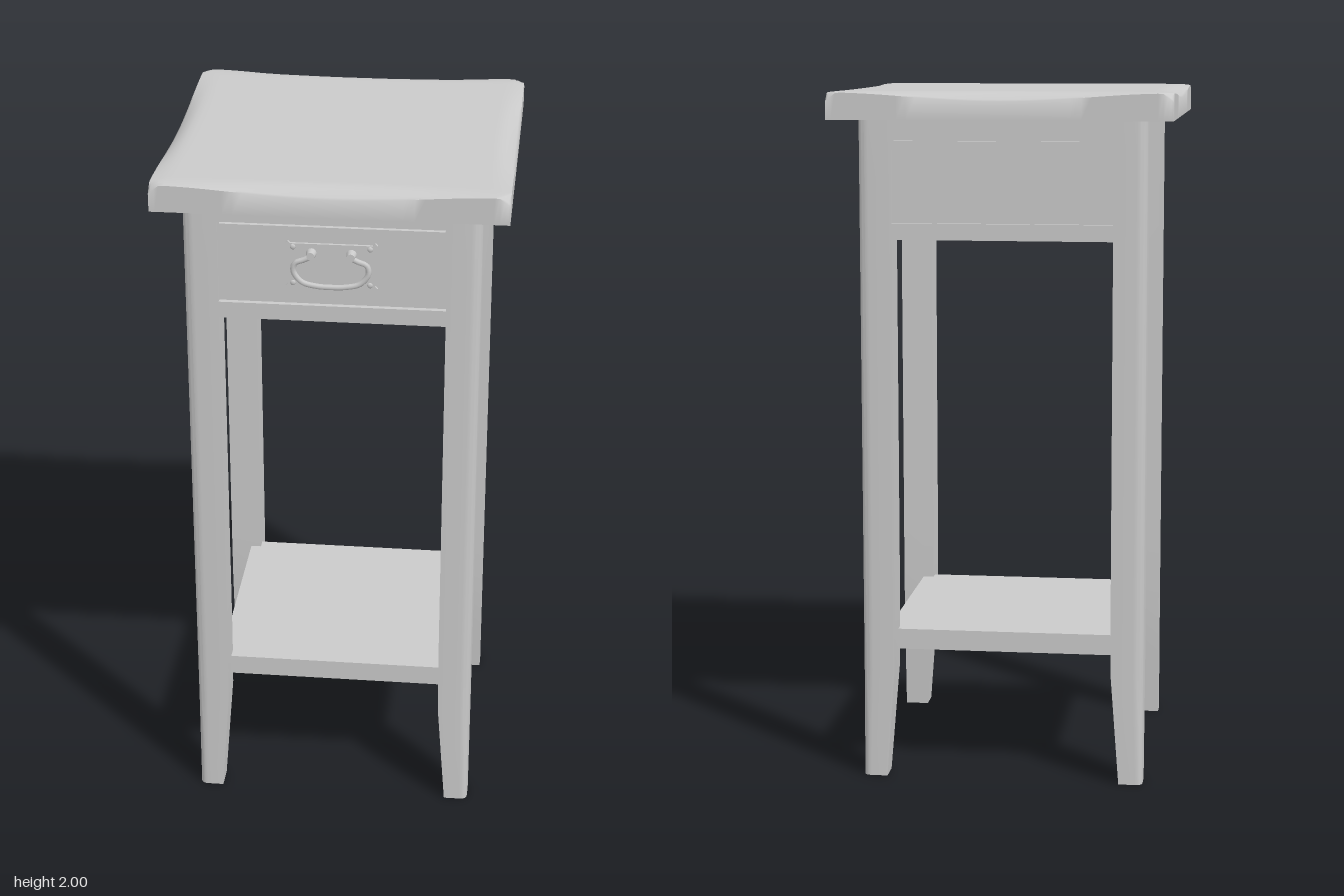
import * as THREE from 'three';
import { toCreasedNormals } from 'three/addons/utils/BufferGeometryUtils.js';

const grey = new THREE.MeshStandardMaterial({ color: 0xcacaca });
grey.name = 'grey';

function add(parent, name, geometry, x = 0, y = 0, z = 0) {
  const mesh = new THREE.Mesh(geometry, grey);
  mesh.name = name;
  mesh.position.set(x, y, z);
  parent.add(mesh);
  return mesh;
}

// box given by its limits
function block(parent, name, [x0, x1], [y0, y1], [z0, z1]) {
  return add(parent, name, new THREE.BoxGeometry(x1 - x0, y1 - y0, z1 - z0),
    (x0 + x1) / 2, (y0 + y1) / 2, (z0 + z1) / 2);
}

// slab with softly worn upper edges and corners
function topGeometry() {
  const half = 0.485;
  const g = new THREE.BoxGeometry(2, 0.08, 2, 40, 1, 40);
  const p = g.attributes.position;
  const spread = u => Math.sign(u) * half * (1 - Math.pow(1 - Math.abs(u), 1.5));
  const wear = t => 0.004 + 0.024 * Math.pow(Math.cos(t * Math.PI / 2 / half), 2);
  for (let i = 0; i < p.count; i++) {
    const x = spread(p.getX(i)), z = spread(p.getZ(i));
    let y = p.getY(i);
    if (y > 0) {
      const fall = (a, b) => wear(b) * Math.pow(Math.max(0, 1 - (half - Math.abs(a)) / 0.055), 2);
      const corner = 0.8 * Math.max(0, Math.abs(x) + Math.abs(z) - 0.935);
      y -= Math.max(fall(x, z), fall(z, x), corner);
    }
    p.setXYZ(i, x, y, z);
  }
  return toCreasedNormals(g, 1.1);
}

// square leg: rounded outer corner at the origin, tapering inward to the foot
function legGeometry() {
  const w = 0.095, r = 0.03;
  const s = new THREE.Shape();
  s.moveTo(-w, -w);
  s.lineTo(0, -w);
  s.lineTo(0, -r);
  s.quadraticCurveTo(0, 0, -r, 0);
  s.lineTo(-w, 0);
  s.closePath();
  const g = new THREE.ExtrudeGeometry(s, { depth: 1.92, steps: 12, bevelEnabled: false, curveSegments: 5 });
  const p = g.attributes.position;
  for (let i = 0; i < p.count; i++) {
    const k = 1 - 0.27 * Math.max(0, 1 - p.getZ(i) / 0.34);
    p.setXYZ(i, p.getX(i) * k, p.getY(i) * k, p.getZ(i));
  }
  g.rotateX(-Math.PI / 2); // the outer corner now faces +x and -z
  return toCreasedNormals(g, 0.6);
}

// drawer plate with notched corners
function plateGeometry() {
  const w = 0.127, h = 0.07, n = 0.014;
  const s = new THREE.Shape();
  s.moveTo(-w + n, -h + n / 2);
  s.lineTo(w - n, -h + n / 2);
  s.lineTo(w - n / 2, -h);
  s.lineTo(w, -h + n / 2);
  s.lineTo(w - n / 2, -h + n);
  s.lineTo(w - n / 2, h - n);
  s.lineTo(w, h - n / 2);
  s.lineTo(w - n / 2, h);
  s.lineTo(w - n, h - n / 2);
  s.lineTo(-w + n, h - n / 2);
  s.lineTo(-w + n / 2, h);
  s.lineTo(-w, h - n / 2);
  s.lineTo(-w + n / 2, h - n);
  s.lineTo(-w + n / 2, -h + n);
  s.lineTo(-w, -h + n / 2);
  s.lineTo(-w + n / 2, -h);
  s.closePath();
  return new THREE.ExtrudeGeometry(s, { depth: 0.009, bevelEnabled: false });
}

function createHandle() {
  const handle = new THREE.Group();
  handle.name = 'drawerHandle';
  add(handle, 'handlePlate', plateGeometry());
  // swinging bail
  const points = [[-0.055, 0.032], [-0.075, 0.022], [-0.098, 0.012], [-0.103, -0.012], [-0.08, -0.043], [-0.04, -0.054]];
  const path = [...points, [0, -0.056], ...points.map(([x, y]) => [-x, y]).reverse()]
    .map(([x, y]) => new THREE.Vector3(x, y, 0.025));
  add(handle, 'handleBail', new THREE.TubeGeometry(new THREE.CatmullRomCurve3(path), 48, 0.008, 8));
  for (const side of [-1, 1]) {
    // posts that carry the bail
    const post = add(handle, 'handlePost', new THREE.CylinderGeometry(0.011, 0.015, 0.027, 14), side * 0.055, 0.036, 0.02);
    post.rotation.x = Math.PI / 2;
    // corner screws
    for (const up of [-1, 1]) {
      const screw = add(handle, 'handleScrew', new THREE.SphereGeometry(0.008, 10, 6), side * 0.106, up * 0.053, 0.009);
      screw.scale.z = 0.5;
    }
  }
  return handle;
}

// rails around an inset panel, facing +z
function createFrame(name) {
  const frame = new THREE.Group();
  frame.name = name;
  block(frame, 'upperRail', [-0.33, 0.33], [1.865, 1.92], [0.34, 0.403]);
  block(frame, 'lowerRail', [-0.33, 0.33], [1.58, 1.627], [0.34, 0.403]);
  block(frame, 'drawerPanel', [-0.309, 0.309], [1.633, 1.859], [0.34, 0.401]);
  block(frame, 'gapBacking', [-0.33, 0.33], [1.6, 1.9], [0.33, 0.388]);
  return frame;
}

export function createModel() {
  const table = new THREE.Group();
  table.name = 'sideTable';

  add(table, 'tableTop', topGeometry(), 0, 1.96, 0);

  // four legs, each a quarter turn on, rounded corner facing out
  const leg = legGeometry();
  [[1, -1], [-1, -1], [-1, 1], [1, 1]].forEach(([x, z], i) => {
    add(table, 'leg', leg, x * 0.41, 0, z * 0.41).rotation.y = i * Math.PI / 2;
  });

  // drawer front and matching back
  table.add(createFrame('frontFrame'));
  const back = createFrame('backFrame');
  back.rotation.y = Math.PI;
  table.add(back);

  // side panels, case floor and lower shelf
  for (const s of [-1, 1]) {
    add(table, 'sidePanel', new THREE.BoxGeometry(0.04, 0.35, 0.66), s * 0.38, 1.745, 0);
  }
  block(table, 'caseFloor', [-0.37, 0.37], [1.585, 1.61], [-0.36, 0.36]);
  block(table, 'shelf', [-0.347, 0.347], [0.37, 0.43], [-0.347, 0.347]);

  const handle = createHandle();
  handle.position.set(0, 1.75, 0.4);
  table.add(handle);
  return table;
}
